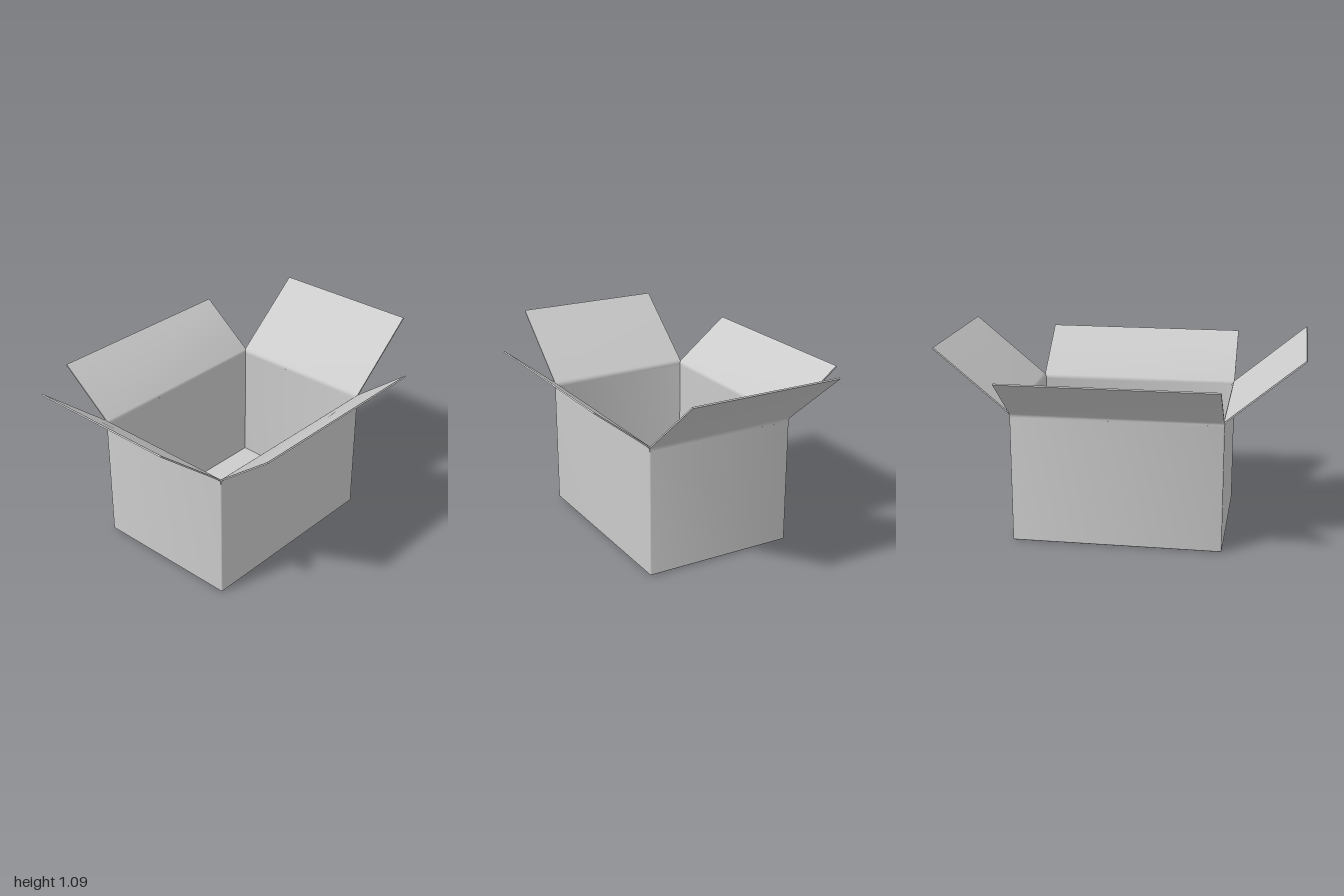
import * as THREE from 'three';
import { RoundedBoxGeometry } from 'three/addons/geometries/RoundedBoxGeometry.js';
import { toCreasedNormals } from 'three/addons/utils/BufferGeometryUtils.js';

const HALF_X = 0.584, HALF_Z = 0.435; // outside of the walls
const WALL_TOP = 0.72, BOARD = 0.01, CORNER = 0.009;

const material = new THREE.MeshStandardMaterial({ color: 0xcccccc });

function part(name, geometry) {
  const mesh = new THREE.Mesh(geometry, material);
  mesh.name = name;
  return mesh;
}

// Rectangle with rounded corners, as a shape or a hole
function roundedRect(path, hx, hy, r) {
  path.moveTo(hx, -hy + r);
  path.absarc(hx - r, hy - r, r, 0, Math.PI / 2);
  path.absarc(-hx + r, hy - r, r, Math.PI / 2, Math.PI);
  path.absarc(-hx + r, -hy + r, r, Math.PI, Math.PI * 1.5);
  path.absarc(hx - r, -hy + r, r, Math.PI * 1.5, Math.PI * 2);
  return path;
}

// Four walls as one folded ring of board
function wallGeometry() {
  const ring = roundedRect(new THREE.Shape(), HALF_X, HALF_Z, CORNER);
  ring.holes.push(roundedRect(new THREE.Path(), HALF_X - BOARD, HALF_Z - BOARD, 0.002));
  const geometry = new THREE.ExtrudeGeometry(ring, {
    depth: WALL_TOP - 0.006, bevelEnabled: false, curveSegments: 4,
  });
  geometry.rotateX(-Math.PI / 2).translate(0, 0.006, 0);
  return toCreasedNormals(geometry, 0.6);
}

// Board that rises from the wall, bends at the fold and leans outward to its tip
function flapGeometry(wallHalf, tipOut, tipY, width) {
  const line = [
    [wallHalf - BOARD / 2, WALL_TOP - 0.004],
    [wallHalf - BOARD / 2, 0.728],
    [wallHalf - 0.001, 0.738],
    [wallHalf + 0.007, 0.746],
    [tipOut, tipY],
  ].map(([x, y]) => new THREE.Vector2(x, y));
  const half = [BOARD / 2, BOARD / 2, 0.0045, 0.004, 0.004];
  const left = [], right = [];
  line.forEach((p, i) => {
    const along = line[Math.min(i + 1, line.length - 1)].clone()
      .sub(line[Math.max(i - 1, 0)]).normalize();
    const normal = new THREE.Vector2(-along.y, along.x);
    left.push(p.clone().addScaledVector(normal, half[i]));
    right.push(p.clone().addScaledVector(normal, -half[i]));
  });
  const profile = new THREE.Shape([...right, ...left.reverse()]);
  const geometry = new THREE.ExtrudeGeometry(profile, { depth: width, bevelEnabled: false });
  geometry.translate(0, 0, -width / 2);
  return toCreasedNormals(geometry, 0.7);
}

export function createModel() {
  const carton = new THREE.Group();
  carton.name = 'openCarton';

  const floor = part('floor',
    new RoundedBoxGeometry(HALF_X * 2 - 0.006, 0.016, HALF_Z * 2 - 0.006, 2, 0.006));
  floor.position.y = 0.008;
  carton.add(floor, part('walls', wallGeometry()));

  // Opposite flaps share a geometry and are turned to face outward
  const sideFlap = flapGeometry(HALF_X, 0.997, 1.086, HALF_Z * 2 - 0.004);
  const endFlap = flapGeometry(HALF_Z, 0.743, 0.983, HALF_X * 2 - 0.004);
  const flaps = [
    ['leftFlap', sideFlap, 0],
    ['rightFlap', sideFlap, Math.PI],
    ['frontFlap', endFlap, -Math.PI / 2],
    ['backFlap', endFlap, Math.PI / 2],
  ];
  for (const [name, geometry, turn] of flaps) {
    const flap = part(name, geometry);
    flap.rotation.y = turn;
    carton.add(flap);
  }
  return carton;
}
